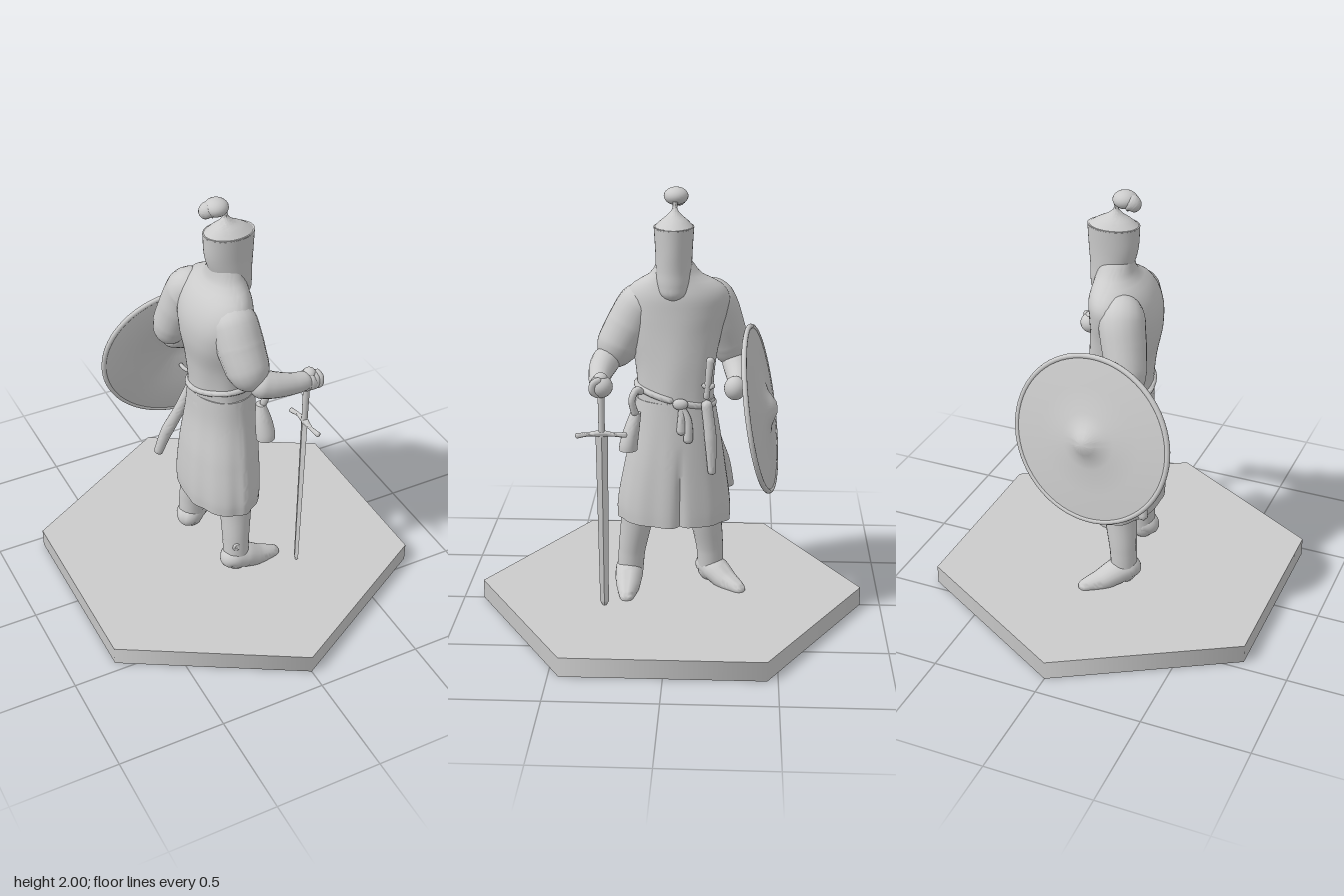
import * as THREE from 'three';
import { mergeVertices, toCreasedNormals } from 'three/addons/utils/BufferGeometryUtils.js';

const grey = new THREE.MeshStandardMaterial({ color: 0xcccccc, side: THREE.DoubleSide });
const V = (x, y, z) => new THREE.Vector3(x, y, z);

function add(parent, name, geo, pos = [0, 0, 0]) {
  const mesh = new THREE.Mesh(geo, grey);
  mesh.name = name;
  mesh.position.set(...pos);
  parent.add(mesh);
  return mesh;
}

function smooth(geo, angle = 0.9) {
  geo.deleteAttribute('uv');
  geo.deleteAttribute('normal');
  return toCreasedNormals(mergeVertices(geo, 1e-5), angle);
}

// Stacked oval rings, each row [y, centreX, centreZ, radiusX, radiusZ]; fold(angle, t) scales the radius
function loft(rows, fold = () => 1, sides = 40, steps = 32) {
  const track = new THREE.CubicInterpolant(rows.map(r => r[0]), rows.flatMap(r => r.slice(1)), 4, new Float32Array(4));
  const geo = new THREE.CylinderGeometry(1, 1, 1, sides, steps);
  const p = geo.attributes.position, y0 = rows[0][0], y1 = rows.at(-1)[0];
  for (let i = 0; i < p.count; i++) {
    const t = Math.min(1, Math.max(0, p.getY(i) + 0.5)), y = y0 + (y1 - y0) * t;
    const [cx, cz, rx, rz] = track.evaluate(y);
    const f = fold(Math.atan2(p.getZ(i), p.getX(i)), t);
    p.setXYZ(i, cx + p.getX(i) * rx * f, y, cz + p.getZ(i) * rz * f);
  }
  return smooth(geo);
}

// Rounded limb along a curve, each point [x, y, z, radius]
function limb(points, sides = 18, steps = 36) {
  const curve = new THREE.CatmullRomCurve3(points.map(q => V(q[0], q[1], q[2])));
  const geo = new THREE.TubeGeometry(curve, steps, 1, sides);
  const p = geo.attributes.position, v = V(0, 0, 0), len = curve.getLength();
  for (let i = 0; i < p.count; i++) {
    const t = Math.floor(i / (sides + 1)) / steps, c = curve.getPointAt(t);
    const k = Math.min(points.length - 2, Math.floor(t * (points.length - 1)));
    let r = THREE.MathUtils.lerp(points[k][3], points[k + 1][3], t * (points.length - 1) - k);
    const d = Math.min(t, 1 - t) * len / r;
    if (d < 1) r *= Math.sqrt(Math.max(0, 1 - (1 - d) ** 2));
    v.fromBufferAttribute(p, i).sub(c).multiplyScalar(r).add(c);
    p.setXYZ(i, v.x, v.y, v.z);
  }
  return smooth(geo, 1.4);
}

function ball(parent, name, pos, scale) {
  const m = add(parent, name, new THREE.SphereGeometry(1, 24, 16), pos);
  m.scale.set(...scale);
  return m;
}

export function createModel() {
  const model = new THREE.Group();

  // Hexagonal stand, hollow and open underneath
  add(model, 'baseWall', new THREE.CylinderGeometry(0.905, 0.905, 0.09, 6, 1, true), [0, 0.045, 0]);
  add(model, 'baseTop', new THREE.CircleGeometry(0.905, 6, Math.PI / 2), [0, 0.09, 0]).rotation.x = -Math.PI / 2;

  // Legs and feet: the left foot is turned outward
  add(model, 'rightLeg', limb([[-0.01, 0.6, 0.15, 0.08], [-0.015, 0.42, 0.163, 0.076], [-0.025, 0.26, 0.187, 0.064], [-0.03, 0.08, 0.2, 0.06]]));
  add(model, 'leftLeg', limb([[-0.05, 0.6, -0.145, 0.08], [-0.06, 0.42, -0.163, 0.076], [-0.08, 0.26, -0.183, 0.064], [-0.09, 0.08, -0.187, 0.06]]));
  for (const [name, x, z, turn] of [['rightFoot', -0.03, 0.2, 0], ['leftFoot', -0.09, -0.187, 0.75]]) {
    const foot = add(model, name, limb([[-0.068, 0, 0, 0.035], [-0.02, 0.04, 0, 0.06], [0.04, 0.028, 0, 0.06], [0.11, 0, 0, 0.052], [0.18, -0.012, 0, 0.038], [0.235, -0.02, 0, 0.022]]), [x, 0.115, z]);
    foot.scale.z = 1.1;
    foot.rotation.y = turn;
  }
  add(model, 'bootBuckle', new THREE.TorusGeometry(0.014, 0.007, 8, 16), [-0.05, 0.25, 0.245]);

  // Skirt with soft folds and a slit at the front
  const skirtFold = (a, t) => 1 + (1 - t) * (0.018 * Math.sin(a * 9 + 1) + 0.01 * Math.sin(a * 14))
    - 0.16 * Math.max(0, 1 - t * 1.5) * Math.exp(-(((a + 0.13) / 0.06) ** 2));
  add(model, 'skirt', loft([
    [0.44, -0.02, -0.017, 0.175, 0.262], [0.5, -0.02, -0.017, 0.178, 0.264], [0.7, -0.012, -0.02, 0.172, 0.236],
    [0.9, 0, -0.025, 0.155, 0.2], [1.04, 0, -0.02, 0.148, 0.18]], skirtFold, 96));

  // Tunic body with sloping shoulders up to the neck
  const creases = (a, t) => 1 + 0.012 * Math.sin(a * 7 + t * 5) * (1 - t);
  add(model, 'tunic', loft([
    [0.97, 0, -0.022, 0.15, 0.182], [1.05, 0, -0.02, 0.146, 0.175], [1.2, -0.01, -0.02, 0.148, 0.185],
    [1.35, -0.028, -0.015, 0.154, 0.22], [1.45, -0.028, -0.022, 0.149, 0.24], [1.53, -0.015, -0.03, 0.132, 0.23],
    [1.58, -0.002, -0.03, 0.108, 0.185], [1.61, 0.012, -0.025, 0.09, 0.128], [1.68, 0.022, -0.018, 0.08, 0.075]], creases, 56));

  // Head wrapped in a hood, with rounded chin, helmet top and plume
  add(model, 'hoodedHead', loft([
    [1.515, 0.098, -0.015, 0.02, 0.026], [1.53, 0.09, -0.015, 0.043, 0.052], [1.575, 0.065, -0.015, 0.076, 0.074],
    [1.64, 0.046, -0.015, 0.096, 0.08], [1.72, 0.036, -0.015, 0.112, 0.083], [1.835, 0.035, -0.015, 0.119, 0.09]]));
  add(model, 'helmetCone', loft([
    [1.83, 0.035, -0.015, 0.119, 0.09], [1.86, 0.03, -0.016, 0.077, 0.06], [1.885, 0.025, -0.017, 0.035, 0.03],
    [1.91, 0.022, -0.018, 0.012, 0.012], [1.94, 0.018, -0.02, 0.012, 0.012]]));
  ball(model, 'plume', [-0.022, 1.96, -0.022], [0.055, 0.04, 0.055]);
  add(model, 'plumeDroop', limb([[-0.02, 1.955, -0.025, 0.038], [-0.062, 1.945, -0.03, 0.04], [-0.08, 1.915, -0.03, 0.026]]));

  // Right arm reaching forward to the sword
  add(model, 'rightSleeve', limb([[-0.02, 1.535, 0.06, 0.08], [-0.015, 1.46, 0.14, 0.105], [-0.01, 1.37, 0.19, 0.108], [0, 1.28, 0.24, 0.1], [0.02, 1.18, 0.275, 0.075]]));
  add(model, 'rightForearm', limb([[-0.01, 1.23, 0.28, 0.07], [0.1, 1.2, 0.305, 0.062], [0.2, 1.18, 0.31, 0.05], [0.29, 1.17, 0.3, 0.042]]));
  ball(model, 'rightHand', [0.285, 1.165, 0.295], [0.052, 0.05, 0.052]);
  for (let i = 0; i < 4; i++) {
    const x = 0.25 + i * 0.02;
    add(model, 'finger', limb([[x, 1.205, 0.29, 0.015], [x + 0.012, 1.19, 0.325, 0.016], [x + 0.01, 1.15, 0.33, 0.015], [x, 1.125, 0.3, 0.012]], 8, 12));
  }

  // Left arm bent behind the shield
  add(model, 'leftSleeve', limb([[-0.055, 1.535, -0.1, 0.085], [-0.075, 1.475, -0.185, 0.105], [-0.105, 1.36, -0.232, 0.1], [-0.13, 1.26, -0.265, 0.09], [-0.145, 1.15, -0.29, 0.065]]));
  add(model, 'leftForearm', limb([[-0.155, 1.2, -0.29, 0.07], [-0.06, 1.14, -0.305, 0.062], [0.02, 1.11, -0.31, 0.05], [0.08, 1.1, -0.305, 0.035]]));
  ball(model, 'leftHand', [0.07, 1.1, -0.295], [0.05, 0.055, 0.05]);

  // Round shield, tilted outward, with boss, rim and an arm strap inside
  const shield = new THREE.Group();
  shield.name = 'shield';
  shield.position.set(-0.02, 0.975, -0.417);
  shield.quaternion.setFromUnitVectors(V(0, 1, 0), V(0.13, 0.172, -1).normalize());
  model.add(shield);
  const profile = [[0, 0.03], [0.06, 0.02], [0.2, -0.002], [0.37, -0.012], [0.39, -0.008], [0.39, 0.002], [0.36, 0.006], [0.25, 0.015],
    [0.13, 0.026], [0.085, 0.038], [0.055, 0.056], [0.028, 0.072], [0, 0.077]].map(q => new THREE.Vector2(...q));
  add(shield, 'shieldBoard', smooth(new THREE.LatheGeometry(profile, 72), 0.6));
  add(shield, 'shieldRim', new THREE.TorusGeometry(0.383, 0.012, 10, 72), [0, -0.003, 0]).rotation.x = Math.PI / 2;
  add(shield, 'shieldStrap', new THREE.TorusGeometry(0.06, 0.01, 8, 24, Math.PI), [0.08, 0.005, -0.1]).rotation.x = Math.PI;

  // Sword standing on its point
  const sword = new THREE.Group();
  sword.name = 'sword';
  sword.position.set(0.25, 0.09, 0.297);
  sword.rotation.z = -0.02;
  model.add(sword);
  const blade = new THREE.CylinderGeometry(0.028, 0.02, 0.82, 4);
  blade.scale(0.4, 1, 1);
  add(sword, 'blade', toCreasedNormals(blade.toNonIndexed(), 0.3), [0, 0.43, 0]);
  const tip = new THREE.ConeGeometry(0.02, 0.03, 4);
  tip.rotateX(Math.PI).scale(0.4, 1, 1);
  add(sword, 'bladeTip', toCreasedNormals(tip.toNonIndexed(), 0.3), [0, 0.005, 0]);
  add(sword, 'crossguard', limb([[0.012, 0.84, 0.12, 0.013], [0, 0.845, 0.06, 0.009], [0, 0.85, 0, 0.016], [0, 0.845, -0.06, 0.009], [-0.012, 0.84, -0.115, 0.013]], 12));
  add(sword, 'grip', new THREE.CylinderGeometry(0.016, 0.014, 0.25, 14), [0, 0.96, 0]);
  ball(sword, 'pommel', [0.01, 1.11, 0], [0.03, 0.028, 0.032]);

  // Slanted sash with knot and hanging ends
  add(model, 'sash', limb(Array.from({ length: 33 }, (_, i) => {
    const a = i / 32 * Math.PI * 2;
    return [0.146 * Math.cos(a), 1.055 + 0.045 * Math.sin(a), -0.02 + 0.176 * Math.sin(a), 0.015];
  }), 10, 96));
  ball(model, 'sashKnot', [0.155, 1.045, -0.05], [0.022, 0.026, 0.035]);
  for (const [z, low] of [[-0.055, 0.9], [-0.085, 0.86]])
    add(model, 'sashEnd', limb([[0.155, 1.04, -0.055, 0.012], [0.16, 0.97, z, 0.018], [0.157, low, z, 0.024]], 10));

  // Pouch on the right hip, flared toward the bottom
  add(model, 'pouchStrap', limb([[0.1, 1.08, 0.125, 0.018], [0.125, 1.1, 0.15, 0.016], [0.14, 1.06, 0.17, 0.016], [0.125, 0.98, 0.155, 0.018]], 10));
  add(model, 'pouch', loft([
    [0.815, 0.125, 0.19, 0.045, 0.042], [0.84, 0.125, 0.188, 0.046, 0.042], [0.92, 0.12, 0.172, 0.038, 0.035],
    [0.99, 0.115, 0.155, 0.022, 0.025]], undefined, 24, 16));

  // Dagger on the left front
  add(model, 'daggerSheath', limb([[0.125, 1.06, -0.165, 0.025], [0.135, 0.9, -0.185, 0.028], [0.135, 0.7, -0.195, 0.018]]));
  add(model, 'daggerGrip', limb([[0.125, 1.06, -0.165, 0.014], [0.125, 1.16, -0.175, 0.016], [0.12, 1.26, -0.185, 0.02]], 10));
  add(model, 'daggerGuard', limb([[0.125, 1.13, -0.205, 0.012], [0.125, 1.12, -0.175, 0.014], [0.125, 1.13, -0.145, 0.012]], 10));

  // Empty scabbard trailing behind the left hip
  add(model, 'scabbard', limb([[-0.06, 1.0, -0.165, 0.024], [-0.13, 0.8, -0.205, 0.026], [-0.185, 0.64, -0.25, 0.03], [-0.22, 0.51, -0.275, 0.022]]));

  return model;
}
